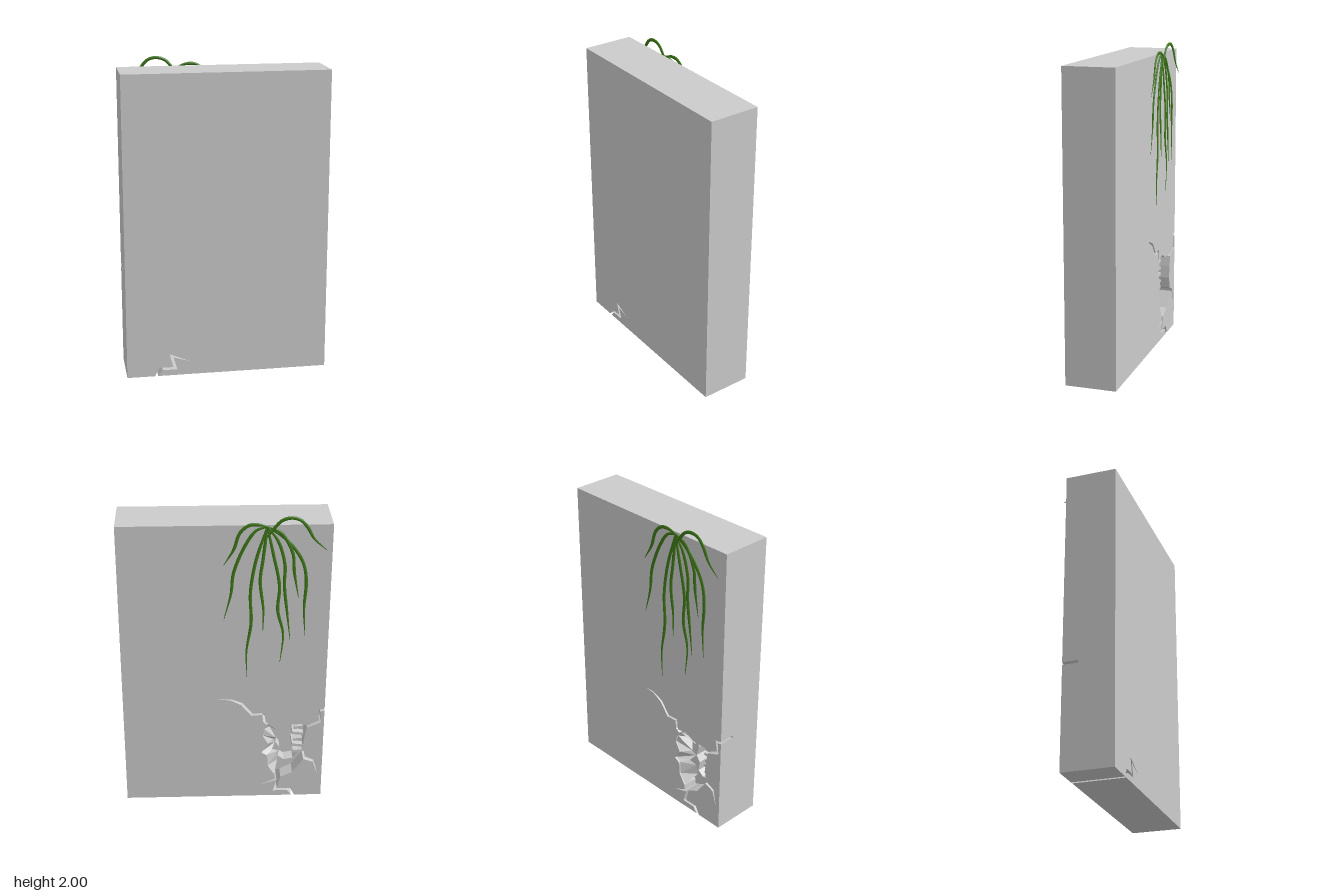
import * as THREE from 'three';

const stone = new THREE.MeshStandardMaterial({ color: 0xcccccc, flatShading: true, side: THREE.DoubleSide });
const green = new THREE.MeshStandardMaterial({ color: 0x3f7a18 });

// Slab piece: an outline in x, y extruded between two depths
function slab(name, outline, z0, z1, hole) {
  const shape = new THREE.Shape(outline.map(p => new THREE.Vector2(...p)));
  if (hole) shape.holes.push(new THREE.Path(hole.map(p => new THREE.Vector2(...p))));
  const geo = new THREE.ExtrudeGeometry(shape, { depth: z1 - z0, bevelEnabled: false });
  geo.translate(0, 0, z0);
  const mesh = new THREE.Mesh(geo, stone);
  mesh.name = name;
  return mesh;
}

// Tapered, slightly flattened strand through x, y points
function strand(points, index) {
  const end = points.length - 1;
  const curve = new THREE.CatmullRomCurve3(points.map(([x, y], i) =>
    new THREE.Vector3(x, y, -0.158 - 0.002 * (index % 3) - (index === 8 ? 0.01 : 0.003) * i / end)));
  const segs = 28, sides = 6;
  const geo = new THREE.TubeGeometry(curve, segs, 0.011, sides);
  const pos = geo.attributes.position, v = new THREE.Vector3();
  for (let i = 0; i < pos.count; i++) {
    const t = Math.floor(i / (sides + 1)) / segs;
    const c = curve.getPointAt(t);
    const k = 0.15 + 0.85 * Math.min(1, 3 * (1 - t)) * Math.min(1, 0.5 + 3 * t);
    v.fromBufferAttribute(pos, i).sub(c).multiplyScalar(k);
    v.z *= 0.5;
    pos.setXYZ(i, c.x + v.x, c.y + v.y, c.z + v.z);
  }
  geo.computeVertexNormals();
  const mesh = new THREE.Mesh(geo, green);
  mesh.name = 'vineStrand';
  return mesh;
}

export function createModel() {
  const group = new THREE.Group();
  const W = 0.645, H = 1.94, back = -0.145, mid = -0.045, deep = 0.04, front = 0.18;

  // Front and middle layers, with the crack that runs right through
  const through = [
    [-W, 0], [-0.468, 0], [-0.44, 0.055], [-0.35, 0.055], [-0.373, 0.145], [-0.24, 0.088],
    [-0.348, 0.122], [-0.324, 0.038], [-0.418, 0.038], [-0.448, 0], [W, 0], [W, H], [-W, H],
  ];
  const cavity = [
    [-0.40, 0.22], [-0.36, 0.25], [-0.37, 0.32], [-0.34, 0.36], [-0.36, 0.43], [-0.35, 0.5],
    [-0.39, 0.53], [-0.49, 0.53], [-0.5, 0.44], [-0.49, 0.37], [-0.51, 0.3], [-0.46, 0.23],
  ];
  group.add(slab('wallFront', through, deep, front));
  group.add(slab('wallCore', through, mid, deep, cavity));

  // Broken back layer: main piece with the ragged hole edge and long crack
  const rim = [
    [-0.332, 0.167], [-0.288, 0.235], [-0.281, 0.318], [-0.244, 0.342],
    [-0.288, 0.406], [-0.25, 0.47], [-0.259, 0.518], [-0.28, 0.555],
  ];
  group.add(slab('wallBack', [
    [-0.448, 0], [-0.418, 0.038], [-0.324, 0.038], [-0.348, 0.122], [-0.24, 0.088], [-0.335, 0.132],
    ...rim,
    [-0.252, 0.575], [-0.245, 0.632], [-0.174, 0.627], [-0.108, 0.709], [-0.04, 0.745], [0.033, 0.752],
    [-0.043, 0.754], [-0.118, 0.723], [-0.184, 0.642], [-0.26, 0.648], [-0.268, 0.575],
    [-0.346, 0.587], [-0.405, 0.556], [-0.507, 0.557], [-0.536, 0.545], [-0.613, 0.584],
    [-0.6, 0.661], [-W, 0.672], [-W, H], [W, H], [W, 0],
  ], back, mid));

  // Corner piece cut off by the cracks
  group.add(slab('wallBackCorner', [
    [-W, 0], [-0.468, 0], [-0.44, 0.055], [-0.35, 0.055], [-0.373, 0.145], [-0.449, 0.185],
    [-0.52, 0.285], [-0.584, 0.262], [-0.616, 0.163], [-0.595, 0.276], [-0.53, 0.305],
    [-0.514, 0.38], [-0.522, 0.46], [-0.536, 0.53], [-0.627, 0.568], [-0.617, 0.65], [-W, 0.656],
  ], back, mid));

  // Sloping broken facets from the rim down into the hole
  const verts = [];
  const inner = rim.map(([x, y], i) => {
    const k = i % 2 ? 0.5 : 0.25;
    return [x + (-0.43 - x) * k, y + (0.37 - y) * k, mid - (i % 3) * 0.02];
  });
  for (let i = 0; i < rim.length - 1; i++) {
    const a = [...rim[i], back + 0.01], b = [...rim[i + 1], back + 0.01];
    verts.push(...a, ...b, ...inner[i], ...b, ...inner[i + 1], ...inner[i]);
  }
  const facets = new THREE.BufferGeometry();
  facets.setAttribute('position', new THREE.Float32BufferAttribute(verts, 3));
  facets.computeVertexNormals();
  const broken = new THREE.Mesh(facets, stone);
  broken.name = 'brokenFacets';
  group.add(broken);

  // Ledges left standing inside the hole
  for (let i = 0; i < 5; i++) {
    const ledge = new THREE.Mesh(new THREE.BoxGeometry(0.06 + 0.015 * (i % 2), 0.018, 0.13), stone);
    ledge.position.set(-0.485, 0.31 + 0.046 * i, -0.02);
    ledge.rotation.z = 0.12 * (i % 2 ? 1 : -1);
    ledge.name = 'brokenLedge';
    group.add(ledge);
  }

  // Vine hanging over the back from one root at the top edge
  const vine = new THREE.Group();
  vine.name = 'vine';
  [
    [[-0.186, 1.71], [-0.157, 1.506], [-0.164, 1.31], [-0.137, 1.106], [-0.142, 0.925]],
    [[-0.19, 1.915], [-0.128, 1.829], [-0.055, 1.644], [-0.04, 1.508], [0.003, 1.335]],
    [[-0.2, 1.95], [-0.142, 1.945], [-0.091, 1.9], [-0.055, 1.796], [0.005, 1.695]],
    [[-0.23, 1.725], [-0.215, 1.588], [-0.237, 1.396], [-0.237, 1.251]],
    [[-0.288, 1.772], [-0.332, 1.553], [-0.325, 1.388], [-0.361, 1.231], [-0.346, 1.03]],
    [[-0.317, 1.846], [-0.361, 1.693], [-0.361, 1.561], [-0.383, 1.369], [-0.405, 1.19]],
    [[-0.361, 1.858], [-0.463, 1.72], [-0.492, 1.596], [-0.485, 1.396], [-0.497, 1.213]],
    [[-0.332, 1.897], [-0.405, 1.77], [-0.419, 1.642], [-0.449, 1.472]],
    [[-0.3, 1.935], [-0.34, 1.976], [-0.4, 1.991], [-0.45, 1.975], [-0.49, 1.93], [-0.53, 1.86], [-0.61, 1.785]],
  ].forEach((path, i) => vine.add(strand([[-0.252, i === 8 ? 1.87 : 1.935], ...path], i)));
  group.add(vine);
  return group;
}
